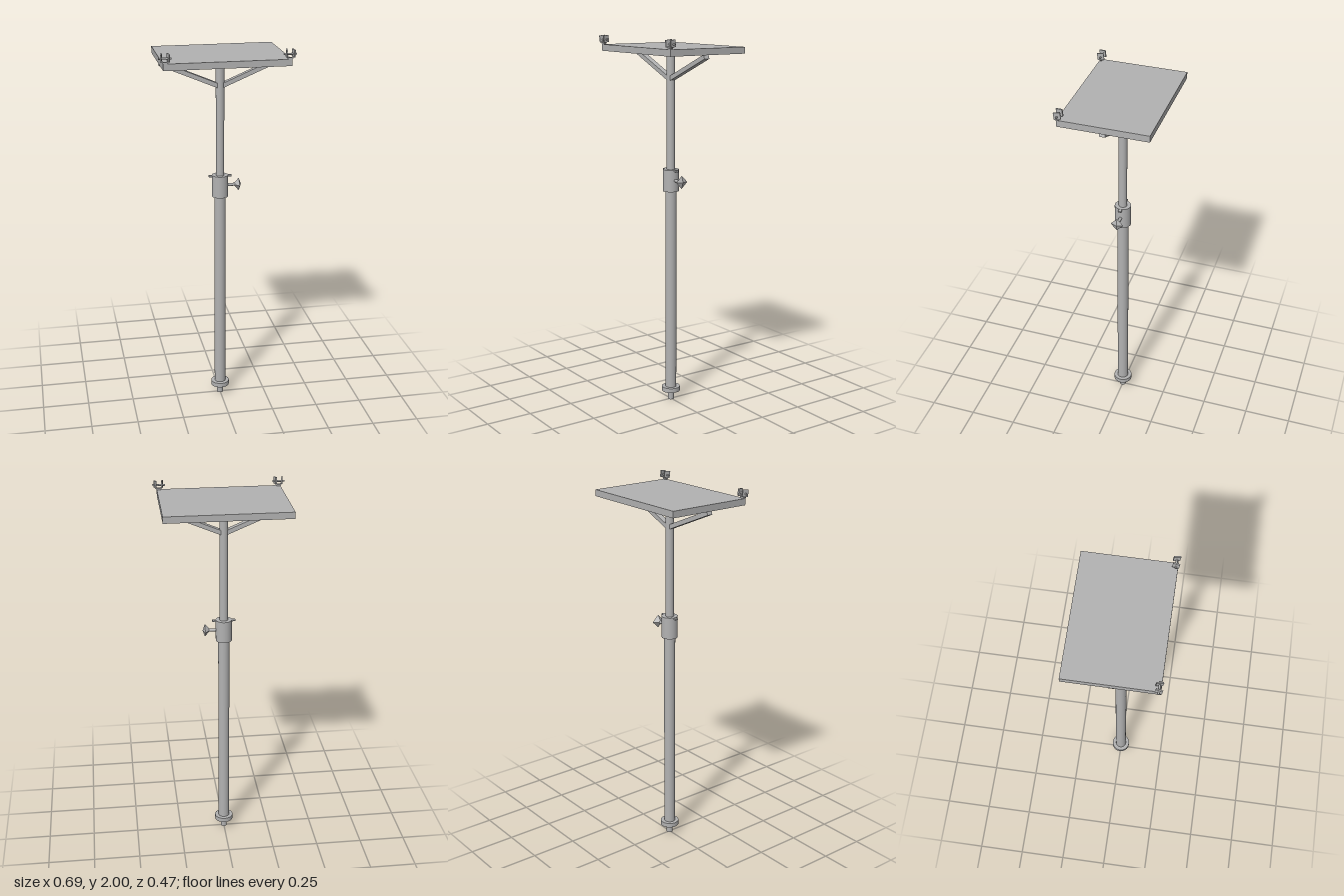
import * as THREE from 'three';

const metal = new THREE.MeshStandardMaterial({ color: 0xb2b2b2 });
metal.name = 'grey metal';

function add(parent, name, geometry, x = 0, y = 0, z = 0) {
  const mesh = new THREE.Mesh(geometry, metal);
  mesh.name = name;
  mesh.position.set(x, y, z);
  parent.add(mesh);
  return mesh;
}

// Upright cylinder between two heights
function tube(parent, name, radius, y0, y1) {
  return add(parent, name, new THREE.CylinderGeometry(radius, radius, y1 - y0, 32), 0, (y0 + y1) / 2);
}

// Box bar running between two points in the xy plane
function bar(parent, name, [x0, y0], [x1, y1], thick, depth, z = 0) {
  const length = Math.hypot(x1 - x0, y1 - y0);
  const mesh = add(parent, name, new THREE.BoxGeometry(length, thick, depth), (x0 + x1) / 2, (y0 + y1) / 2, z);
  mesh.rotation.z = Math.atan2(y1 - y0, x1 - x0);
  return mesh;
}

// Cross rod with two twisted wings on a small splayed foot
function createClamp(side) {
  const clamp = new THREE.Group();
  clamp.name = side > 0 ? 'leftClamp' : 'rightClamp';
  clamp.position.set(side * 0.312, 0, 0.215);
  const rod = add(clamp, 'clampRod', new THREE.CylinderGeometry(0.005, 0.005, 0.064, 12), 0, 1.976, 0);
  rod.rotation.z = Math.PI / 2;
  for (const s of [-1, 1]) {
    const wing = add(clamp, 'clampWing', new THREE.BoxGeometry(0.007, 0.036, 0.033), s * 0.018, 1.98, 0);
    wing.rotation.y = s * 0.18;
    wing.rotation.x = 0.12;
    bar(clamp, 'clampFoot', [s * 0.016, 1.964], [s * 0.005, 1.948], 0.006, 0.012, 0.003);
  }
  add(clamp, 'clampBase', new THREE.BoxGeometry(0.016, 0.018, 0.014), 0, 1.95, 0.003);
  return clamp;
}

export function createModel() {
  const model = new THREE.Group();
  model.name = 'adjustableStand';

  // Base fitting and telescopic pole
  tube(model, 'spigot', 0.017, 0, 0.055);
  tube(model, 'baseFlange', 0.05, 0.05, 0.075);
  tube(model, 'lowerPole', 0.03, 0.07, 1.2);
  tube(model, 'upperPole', 0.022, 1.19, 1.925);

  // Locking collar, open at the top around the upper pole
  const collarProfile = [[0.03, 1.182], [0.043, 1.182], [0.043, 1.182], [0.043, 1.3], [0.043, 1.3],
    [0.022, 1.3]].map(([r, y]) => new THREE.Vector2(r, y));
  add(model, 'collar', new THREE.CylinderGeometry(0.043, 0.043, collarProfile[3].y - 1.182, 32), 0, 1.241, 0);
  for (const s of [-1, 1]) {
    add(model, 'collarTab', new THREE.BoxGeometry(0.022, 0.008, 0.016), s * 0.05, 1.295, 0);
  }

  // Tightening screw with a four-sided knob
  const screw = new THREE.Group();
  screw.name = 'tighteningScrew';
  screw.position.set(0.04, 1.243, 0);
  screw.rotation.z = -Math.PI / 2;
  model.add(screw);
  add(screw, 'screwShaft', new THREE.CylinderGeometry(0.008, 0.008, 0.05, 16), 0, 0.025, 0);
  const flare = new THREE.CylinderGeometry(0.035, 0.01, 0.022, 4, 1, true).toNonIndexed();
  const cap = new THREE.ConeGeometry(0.035, 0.012, 4, 1, true).toNonIndexed();
  flare.computeVertexNormals();
  cap.computeVertexNormals();
  add(screw, 'knobFlare', flare, 0, 0.05, 0);
  add(screw, 'knobCap', cap, 0, 0.067, 0);

  // Board, its two braces and the front corner clamps
  add(model, 'board', new THREE.BoxGeometry(0.644, 0.034, 0.46), 0, 1.934, -0.005);
  for (const s of [-1, 1]) {
    bar(model, 'brace', [s * 0.012, 1.783], [s * 0.312, 1.909], 0.023, 0.03);
    model.add(createClamp(s));
  }
  return model;
}
